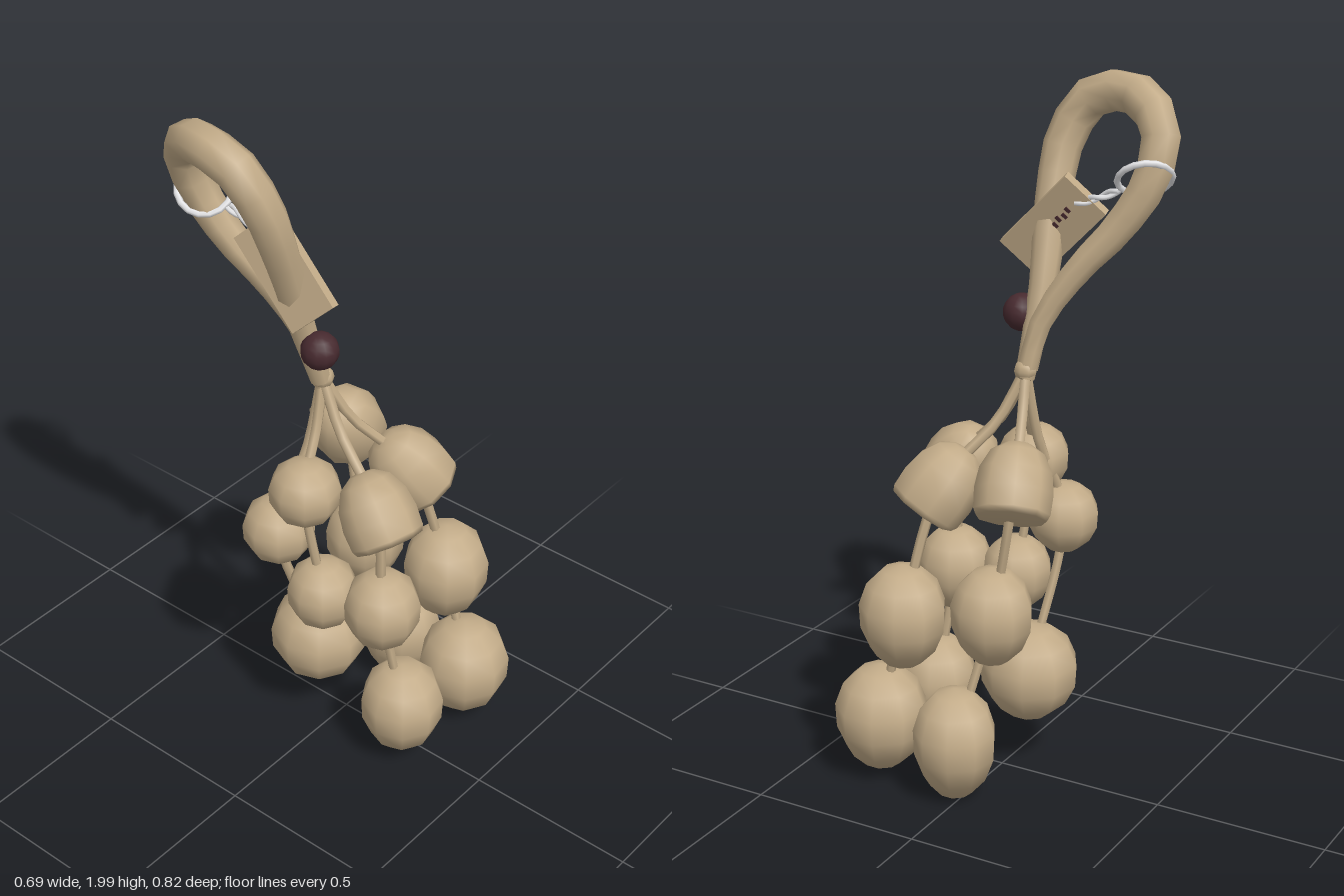
import * as THREE from 'three';

const straw = new THREE.MeshStandardMaterial({ color: 0xc2ab88 });
straw.name = 'straw';
const darkBead = new THREE.MeshStandardMaterial({ color: 0x472a2f });
darkBead.name = 'dark bead';
const silver = new THREE.MeshStandardMaterial({ color: 0xe6e6e8 });
silver.name = 'silver';

const V = (a) => new THREE.Vector3(...a);
const UP = new THREE.Vector3(0, 1, 0);

function add(group, name, geometry, material) {
  const mesh = new THREE.Mesh(geometry, material);
  mesh.name = name;
  group.add(mesh);
  return mesh;
}

// Tube whose radius follows radiusAt(t) along a smooth path
function taperedTube(points, radiusAt, segments, sides) {
  const curve = new THREE.CatmullRomCurve3(points.map(V));
  const geo = new THREE.TubeGeometry(curve, segments, 1, sides);
  const pos = geo.attributes.position;
  const p = new THREE.Vector3();
  for (let i = 0; i < pos.count; i++) {
    const t = Math.floor(i / (sides + 1)) / segments;
    const c = curve.getPointAt(t);
    p.fromBufferAttribute(pos, i).sub(c).multiplyScalar(radiusAt(t)).add(c);
    pos.setXYZ(i, p.x, p.y, p.z);
  }
  // Keep the tube's own radial normals so that it has no seam
  return geo;
}

// Rounded bulb, a little fuller above the middle
function bulbGeometry(r, h) {
  const geo = new THREE.SphereGeometry(1, 9, 7);
  const pos = geo.attributes.position;
  for (let i = 0; i < pos.count; i++) {
    const k = 1 + 0.06 * pos.getY(i);
    pos.setXYZ(i, pos.getX(i) * r * k, pos.getY(i) * h, pos.getZ(i) * r * k);
  }
  return geo;
}

// Cap with a domed top and a nearly flat underside
function capGeometry(r, h) {
  const profile = [[0, -0.85], [0.92, -0.85], [1, -0.7], [1.03, -0.2], [0.95, 0.3], [0.7, 0.75], [0.35, 0.96], [0, 1]];
  return new THREE.LatheGeometry(profile.map(([x, y]) => new THREE.Vector2(x * r, y * h)), 9);
}

export function createModel() {
  const model = new THREE.Group();
  model.name = 'hangingBundle';

  // Thick hanging loop, whose front end passes through the tag
  const loop = [
    [-0.04, 1.18, -0.05], [-0.07, 1.33, -0.08], [-0.11, 1.48, -0.17], [-0.15, 1.6, -0.27],
    [-0.185, 1.74, -0.35], [-0.22, 1.86, -0.355], [-0.26, 1.925, -0.29], [-0.285, 1.942, -0.21],
    [-0.285, 1.91, -0.11], [-0.255, 1.8, -0.052], [-0.22, 1.7, -0.045], [-0.175, 1.58, -0.05],
    [-0.12, 1.42, -0.06], [-0.05, 1.2, -0.05],
  ];
  const loopRadius = (t) => 0.028 + 0.03 * Math.pow(Math.sin(Math.PI * Math.min(1, t * 0.95)), 1.5);
  add(model, 'loop', taperedTube(loop, loopRadius, 24, 8), straw);

  // Knot closing the lower end of the loop
  const knot = [-0.042, 1.2, -0.05];
  const knotMesh = add(model, 'knot', new THREE.SphereGeometry(0.033, 8, 6), straw);
  knotMesh.position.set(...knot);

  // Thin flat tag
  const along = V([0.01, 0.23, -0.23]).normalize();
  const out = V([1, -0.2, -0.2]);
  out.addScaledVector(along, -out.dot(along)).normalize();
  const across = new THREE.Vector3().crossVectors(out, along);
  const tag = add(model, 'tag', new THREE.BoxGeometry(0.03, 0.29, 0.15), straw);
  tag.quaternion.setFromRotationMatrix(new THREE.Matrix4().makeBasis(out, along, across));
  tag.position.set(-0.16, 1.58, -0.07);

  // Small dark specks on the face of the tag
  for (let i = 0; i < 4; i++) {
    const speck = add(tag, 'speck', new THREE.BoxGeometry(0.004, 0.01, 0.018), darkBead);
    speck.position.set(0.016, 0.015 + i * 0.02, 0.006 * (i % 2));
  }

  // Bead
  add(model, 'bead', new THREE.SphereGeometry(0.053, 12, 9), darkBead).position.set(-0.11, 1.34, 0);

  // Wire ring around the loop, and its twisted tail to the tag
  const ring = add(model, 'wireRing', new THREE.TorusGeometry(0.074, 0.009, 6, 16), silver);
  ring.position.set(-0.172, 1.737, -0.335);
  ring.quaternion.setFromUnitVectors(V([0, 0, 1]), V([0.6, -0.7, -0.4]).normalize());
  for (const phase of [0, Math.PI]) {
    const tail = [];
    for (let i = 0; i <= 10; i++) {
      const t = i / 10;
      const a = phase + t * 7;
      tail.push([
        -0.158 + 0.01 * t + 0.007 * Math.cos(a),
        1.7 - 0.05 * t + 0.007 * Math.sin(a),
        -0.268 + 0.125 * t,
      ]);
    }
    add(model, 'wireTail', taperedTube(tail, () => 0.007, 24, 5), silver);
  }

  // Strings of hanging bulbs: [x, y, z, radius, half height], the first may be a cap
  const strings = [
    { cap: true, items: [[-0.09, 0.885, 0.18, 0.105, 0.113], [-0.09, 0.55, 0.205, 0.11, 0.127], [-0.05, 0.19, 0.25, 0.121, 0.152]] },
    { cap: true, items: [[0.12, 0.895, 0.12, 0.108, 0.113], [0.208, 0.51, 0.2, 0.125, 0.155], [0.212, 0.185, 0.275, 0.134, 0.16]] },
    { cap: true, items: [[0.127, 0.935, -0.11, 0.106, 0.115], [0.145, 0.54, -0.05, 0.117, 0.145], [0.233, 0.172, 0.02, 0.119, 0.168]] },
    { cap: false, items: [[-0.165, 0.9, -0.01, 0.103, 0.102], [-0.14, 0.55, 0.03, 0.103, 0.113]] },
    { cap: false, items: [[-0.175, 0.735, -0.1, 0.104, 0.105], [-0.053, 0.295, -0.06, 0.143, 0.145]] },
  ];
  strings.forEach(({ cap, items }) => {
    const strand = new THREE.Group();
    strand.name = 'strand';
    model.add(strand);
    // Each string drops steeply from the knot before spreading out
    const [fx, fy, fz] = items[0];
    const bend = [
      THREE.MathUtils.lerp(knot[0], fx, 0.33),
      THREE.MathUtils.lerp(knot[1], fy, 0.45),
      THREE.MathUtils.lerp(knot[2], fz, 0.33),
    ];
    const path = [knot, bend];
    items.forEach(([x, y, z, r, h], i) => {
      const isCap = cap && i === 0;
      const piece = add(strand, isCap ? 'cap' : 'bulb', isCap ? capGeometry(r, h) : bulbGeometry(r, h), straw);
      piece.position.set(x, y, z);
      // Caps lean back towards the knot
      if (isCap) piece.quaternion.setFromUnitVectors(UP, V(knot).sub(piece.position).normalize());
      path.push([x, y, z]);
    });
    add(strand, 'string', taperedTube(path, (t) => 0.016 - 0.003 * t, 18, 6), straw);
  });

  return model;
}
